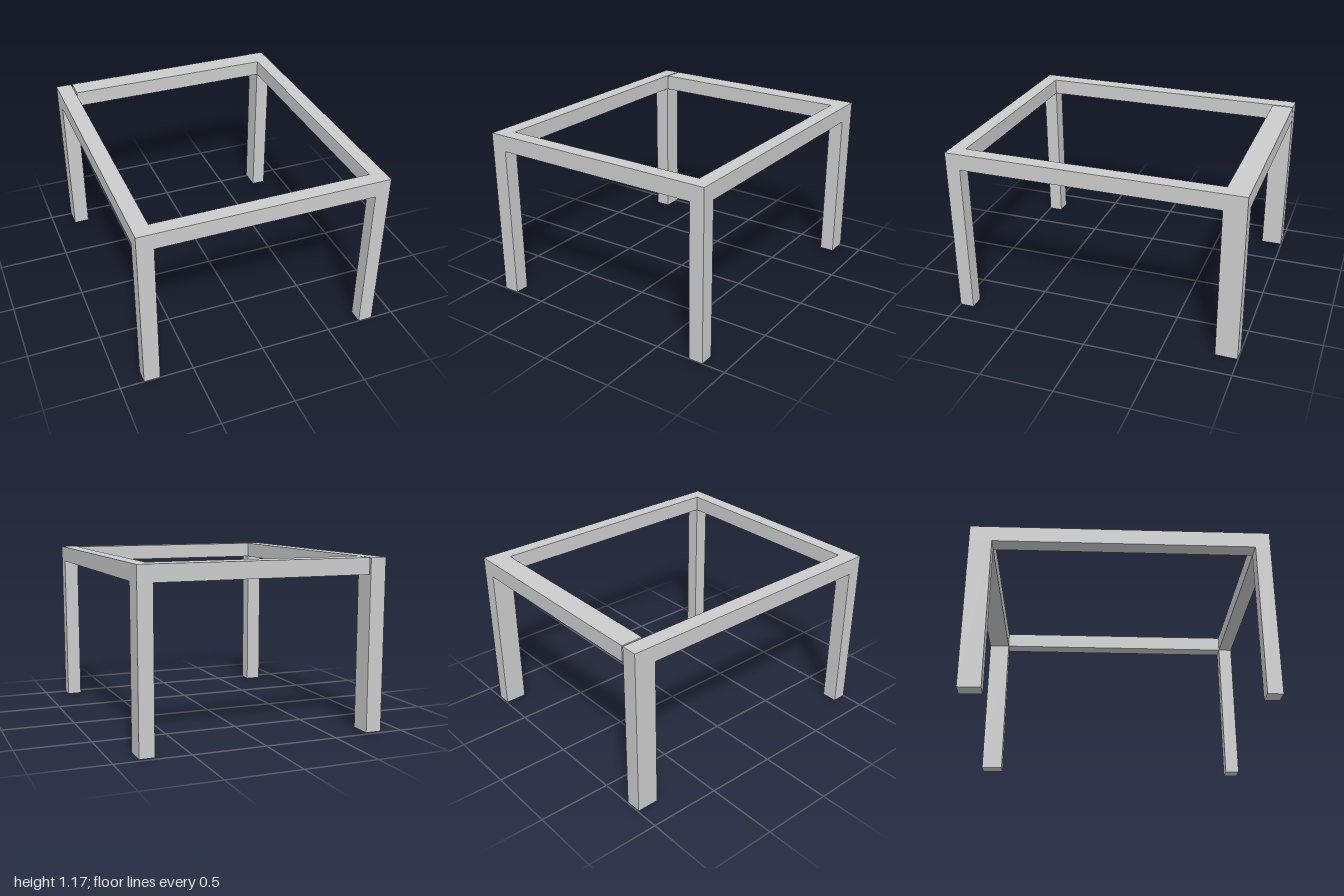
import * as THREE from 'three';

export function createModel() {
  const group = new THREE.Group();
  const material = new THREE.MeshStandardMaterial({ color: 0xcccccc, flatShading: true });

  // Box given by its extents along each axis
  const bar = (name, [x0, x1], [y0, y1], [z0, z1]) => {
    const mesh = new THREE.Mesh(new THREE.BoxGeometry(x1 - x0, y1 - y0, z1 - z0), material);
    mesh.position.set((x0 + x1) / 2, (y0 + y1) / 2, (z0 + z1) / 2);
    mesh.name = name;
    group.add(mesh);
  };

  // Extents shared by legs and rails
  const left = [0.74, 0.84], right = [-0.84, -0.73];
  const front = [0.9, 1], back = [-1, -0.85];
  const railY = [1.06, 1.17];

  // Legs; the back pair is slightly shorter
  for (const [side, x] of [['Left', left], ['Right', right]]) {
    bar(`front${side}Leg`, x, [0, railY[0]], front);
    bar(`back${side}Leg`, x, [0.01, railY[0]], back);
  }

  // Side rails run the full depth
  bar('leftRail', left, railY, [-1, 1]);
  bar('rightRail', right, railY, [-1, 1]);

  // Cross rails; the back one stops just short of the right rail
  bar('frontRail', [right[1], left[0]], railY, front);
  bar('backRail', [-0.72, left[0]], railY, back);

  return group;
}
